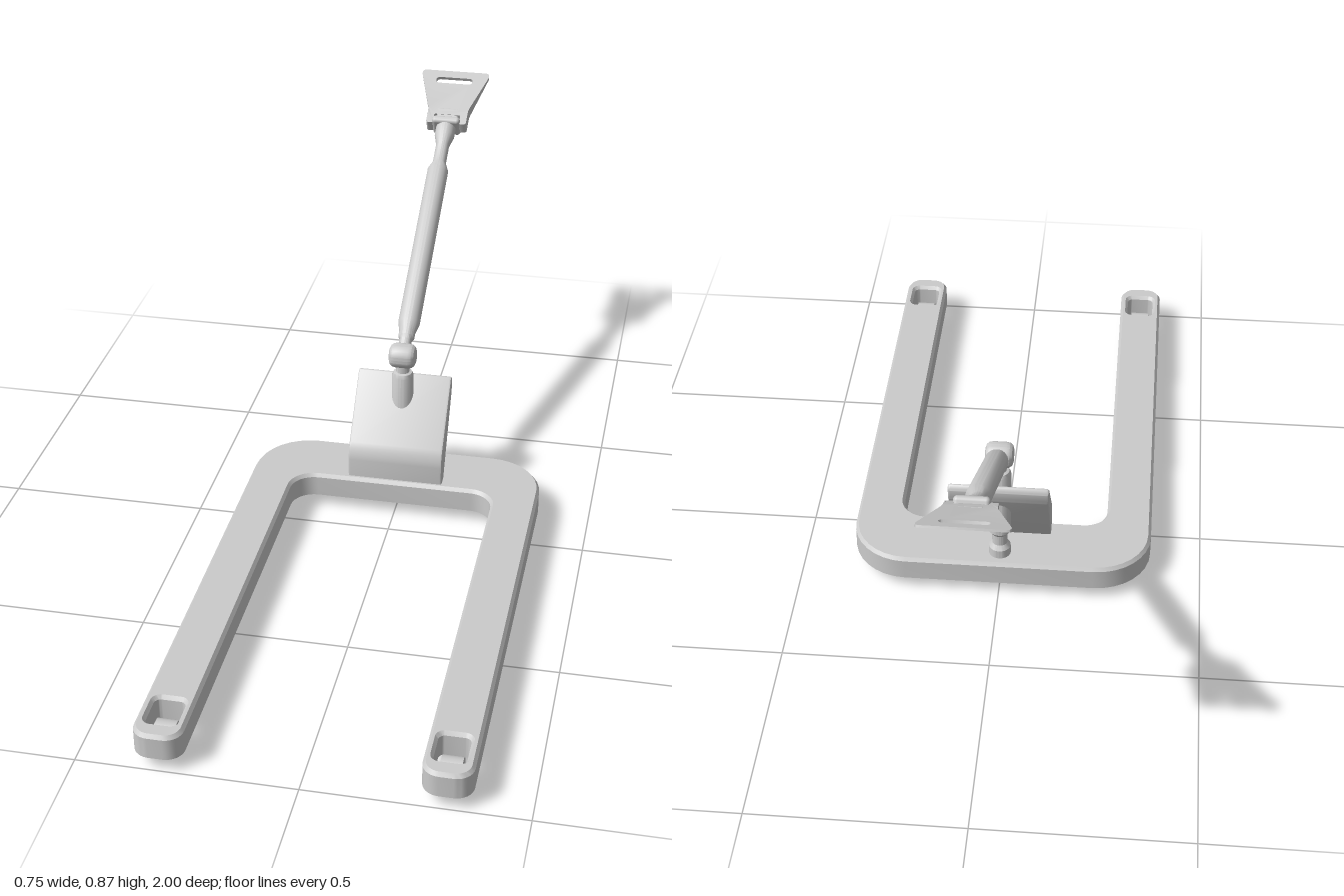
import * as THREE from 'three';
import { toCreasedNormals } from 'three/addons/utils/BufferGeometryUtils.js';
import { RoundedBoxGeometry } from 'three/addons/geometries/RoundedBoxGeometry.js';

const grey = new THREE.MeshStandardMaterial({ color: 0xcccccc });

function add(parent, name, geometry, x = 0, y = 0, z = 0) {
  const mesh = new THREE.Mesh(geometry, grey);
  mesh.name = name;
  mesh.position.set(x, y, z);
  parent.add(mesh);
  return mesh;
}

// Closed outline from [x, y, cornerRadius] corners
function outline(corners, Type = THREE.Shape) {
  const path = new Type();
  const n = corners.length;
  const toward = (c, o, d) => {
    const v = new THREE.Vector2(o[0] - c[0], o[1] - c[1]).setLength(d);
    return [c[0] + v.x, c[1] + v.y];
  };
  corners.forEach((c, i) => {
    const prev = corners[(i + n - 1) % n], next = corners[(i + 1) % n], r = c[2] || 0;
    const start = toward(c, prev, r), end = toward(c, next, r);
    if (i === 0) path.moveTo(...start); else path.lineTo(...start);
    if (r) path.bezierCurveTo(...toward(c, prev, r * 0.448), ...toward(c, next, r * 0.448), ...end);
  });
  path.closePath();
  return path;
}

const rect = (x0, y0, x1, y1, r) =>
  outline([[x0, y0, r], [x1, y0, r], [x1, y1, r], [x0, y1, r]], THREE.Path);

const lathe = (points, segments = 24) =>
  toCreasedNormals(new THREE.LatheGeometry(points.map(p => new THREE.Vector2(...p)), segments), 0.5);

// U-shaped base with a chamfered top edge and a flat underside
function baseGeometry() {
  const shape = outline([
    [-0.373, 0.245, 0.14], [-0.373, -1, 0.04], [-0.26, -1, 0.04], [-0.26, 0.075, 0.06],
    [0.26, 0.075, 0.06], [0.26, -1, 0.04], [0.373, -1, 0.04], [0.373, 0.245, 0.14],
  ]);
  for (const s of [-1, 1]) shape.holes.push(rect(s * 0.316 - 0.036, -0.955, s * 0.316 + 0.036, -0.868, 0.015));
  const g = new THREE.ExtrudeGeometry(shape, {
    depth: 0.053, curveSegments: 8, bevelThickness: 0.009, bevelSize: 0.007, bevelOffset: -0.007, bevelSegments: 1,
  });
  const p = g.attributes.position;
  for (let i = 0; i < p.count; i++) p.setZ(i, Math.max(0, p.getZ(i)));
  g.rotateX(-Math.PI / 2);
  return toCreasedNormals(g, 0.5);
}

function addWheel(parent, name, x, z, radius, width, axleLength) {
  const wheel = new THREE.Group();
  wheel.name = name;
  wheel.position.set(x, radius, z);
  wheel.rotation.z = Math.PI / 2;
  add(wheel, 'tyre', new THREE.CylinderGeometry(radius, radius, width, 24));
  add(wheel, 'axle', new THREE.CylinderGeometry(0.009, 0.009, axleLength, 12));
  parent.add(wheel);
}

// Sloping guard, drawn as a side profile and extruded across the base
function guardGeometry() {
  const shape = outline([
    [0.087, 0.09], [0.088, 0.168, 0.025], [0.233, 0.336, 0.006], [0.243, 0.322, 0.004], [0.238, 0.29, 0.01], [0.12, 0.09],
  ]);
  const g = new THREE.ExtrudeGeometry(shape, {
    depth: 0.232, curveSegments: 6, bevelThickness: 0.006, bevelSize: 0.004, bevelOffset: -0.004, bevelSegments: 2,
  });
  g.translate(0, 0, -0.116);
  g.rotateY(Math.PI / 2);
  return toCreasedNormals(g, 0.5);
}

// Flared handle that thins to an edge, with a grip slot
function handleGeometry() {
  const shape = outline([
    [-0.055, 0.735, 0.006], [-0.036, 0.735, 0.004], [-0.036, 0.765, 0.004], [0.036, 0.765, 0.004],
    [0.036, 0.735, 0.004], [0.055, 0.735, 0.006], [0.055, 0.785, 0.01], [0.095, 0.918, 0.008],
    [0.09, 0.929, 0.006], [-0.09, 0.929, 0.006], [-0.095, 0.918, 0.008], [-0.055, 0.785, 0.01],
  ]);
  shape.holes.push(rect(-0.051, 0.882, 0.051, 0.904, 0.0105));
  const g = new THREE.ExtrudeGeometry(shape, { depth: 1, curveSegments: 5, bevelEnabled: false });
  const p = g.attributes.position;
  for (let i = 0; i < p.count; i++) {
    const t = THREE.MathUtils.clamp((p.getY(i) - 0.775) / 0.154, 0, 1);
    p.setZ(i, (p.getZ(i) - 0.5) * THREE.MathUtils.lerp(0.036, 0.005, t));
  }
  return toCreasedNormals(g, 0.5);
}

export function createModel() {
  const model = new THREE.Group();
  model.name = 'lifter';

  add(model, 'base', baseGeometry(), 0, 0.033, 0);
  add(model, 'guard', guardGeometry());

  // Wheels
  addWheel(model, 'leftLegWheel', 0.316, 0.912, 0.031, 0.048, 0.078);
  addWheel(model, 'rightLegWheel', -0.316, 0.912, 0.031, 0.048, 0.078);
  addWheel(model, 'rearWheel', 0, -0.15, 0.036, 0.066, 0.114);

  // Upright post
  add(model, 'post', lathe([
    [0, 0.085], [0.027, 0.085], [0.027, 0.118], [0.019, 0.13], [0.019, 0.158], [0.028, 0.17],
    [0.028, 0.347], [0.024, 0.356], [0.017, 0.358], [0.017, 0.39], [0, 0.39],
  ]), 0, 0, -0.197);

  // Pivot barrel with rounded rims
  const pivot = add(model, 'pivot', lathe([
    [0, -0.034], [0.017, -0.034], [0.025, -0.031], [0.03, -0.025], [0.032, -0.016],
    [0.032, 0.016], [0.03, 0.025], [0.025, 0.031], [0.017, 0.034], [0, 0.034],
  ]), 0, 0.403, -0.197);
  pivot.rotation.z = Math.PI / 2;

  // Tilted arm; its local y runs along the shaft
  const arm = new THREE.Group();
  arm.name = 'arm';
  arm.position.set(0, 0.403, -0.197);
  arm.rotation.x = -Math.PI / 3;
  model.add(arm);
  add(arm, 'shaft', lathe([
    [0, 0.01], [0.016, 0.01], [0.016, 0.045], [0.021, 0.055], [0.021, 0.07], [0.028, 0.098],
    [0.028, 0.588], [0.018, 0.612], [0.018, 0.672], [0.027, 0.705], [0.027, 0.735], [0, 0.735],
  ]));
  add(arm, 'collar', new RoundedBoxGeometry(0.076, 0.022, 0.062, 3, 0.009), 0, 0.742, 0);
  add(arm, 'handleMount', new RoundedBoxGeometry(0.06, 0.05, 0.034, 2, 0.006), 0, 0.765, 0);
  add(arm, 'handle', handleGeometry());

  return model;
}
